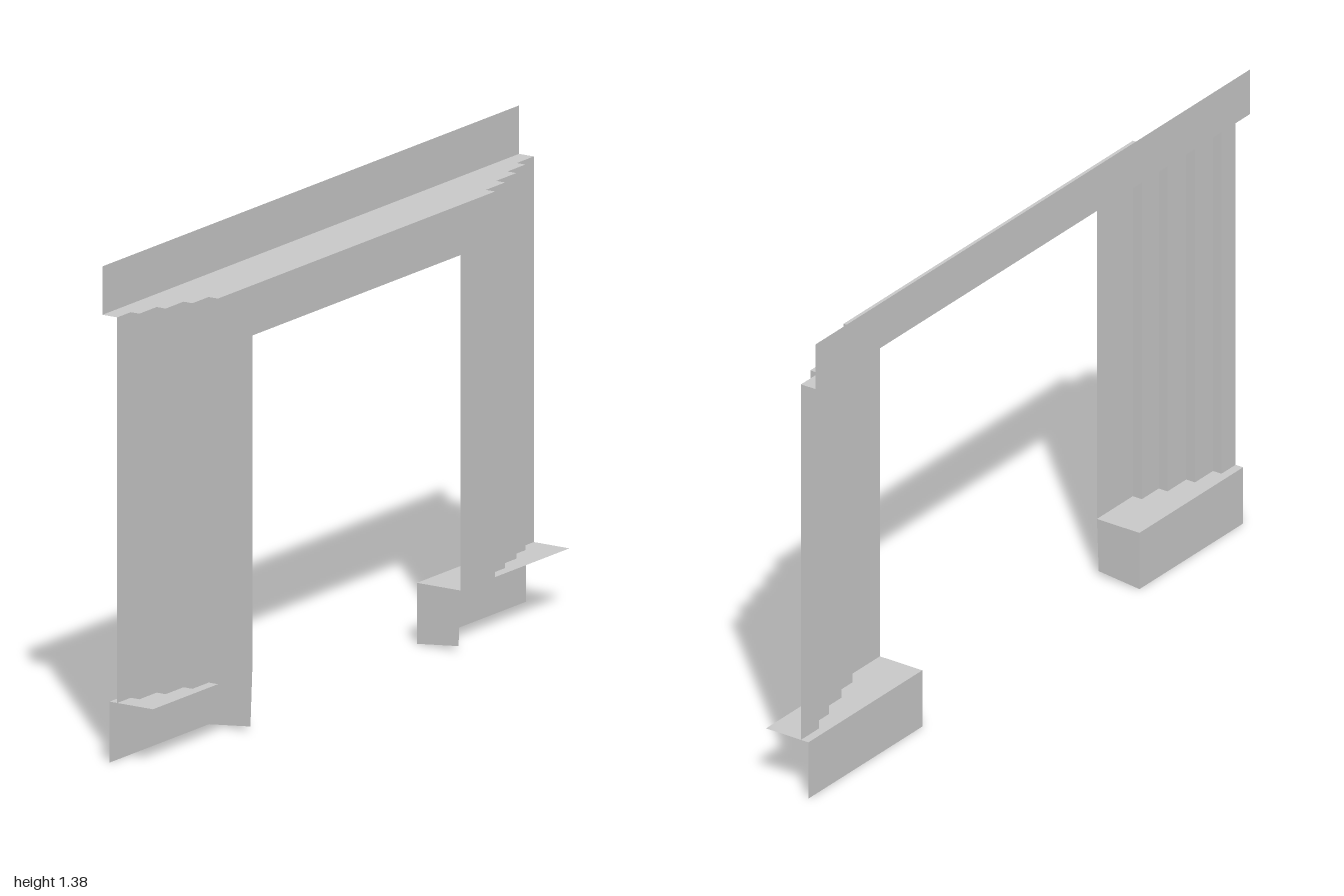
import * as THREE from 'three';

const BASE = 0.17, OPEN_TOP = 1.105, LEDGE = 1.245, TOP = 1.38;
const BACK = -0.083, FACE = 0.081, PLINTH = -0.06;

// Set-backs of the surround: depth of each step, and where each end breaks
const STEP_X = [0.051, 0.022, -0.007, -0.035];
const ENDS = [
  { name: 'front', breaks: [0.688, 0.766, 0.852, 0.935, 1], jamb: 0.523 },
  { name: 'back', breaks: [-0.643, -0.735, -0.832, -0.918, -1], jamb: -0.476 },
];

const material = new THREE.MeshStandardMaterial({
  color: 0xcccccc, flatShading: true, side: THREE.DoubleSide,
});

function sheet(name, geometry) {
  const mesh = new THREE.Mesh(geometry, material);
  mesh.name = name;
  return mesh;
}

// Four-cornered panel, corners counter-clockwise as seen from its front
function panel(name, a, b, c, d) {
  const geometry = new THREE.BufferGeometry().setFromPoints(
    [a, b, c, a, c, d].map((p) => new THREE.Vector3(...p)));
  geometry.computeVertexNormals();
  return sheet(name, geometry);
}

// Flat outline from [x, y] pairs
function flat(points) {
  return new THREE.ShapeGeometry(new THREE.Shape(points.map((p) => new THREE.Vector2(...p))));
}

// Plan of one stepped end as [x, z], from the main face outwards
function stepPlan(breaks) {
  const plan = [[FACE, breaks[0]]];
  STEP_X.forEach((x, i) => plan.push([x, breaks[i]], [x, breaks[i + 1]]));
  return plan;
}

export function createModel() {
  const model = new THREE.Group();
  model.name = 'doorSurround';
  const [front, back] = ENDS;

  // Main face with the doorway cut up from below
  const face = flat([
    [-front.breaks[0], BASE], [-front.jamb, BASE], [-front.jamb, OPEN_TOP],
    [-back.jamb, OPEN_TOP], [-back.jamb, BASE], [-back.breaks[0], BASE],
    [-back.breaks[0], LEDGE], [-front.breaks[0], LEDGE],
  ]).rotateY(Math.PI / 2).translate(FACE, 0, 0);
  model.add(sheet('mainFace', face));

  // Ledge following the stepped plan
  const plan = [
    [BACK, 1], ...stepPlan(front.breaks).reverse(), ...stepPlan(back.breaks), [BACK, -1],
  ];
  const ledge = flat(plan.map(([x, z]) => [x, -z])).rotateX(-Math.PI / 2).translate(0, LEDGE, 0);
  model.add(sheet('ledge', ledge));

  // Upright band behind the ledge
  model.add(panel('topBand', [BACK, LEDGE, 1], [BACK, LEDGE, -1], [BACK, TOP, -1], [BACK, TOP, 1]));

  for (const { name, breaks, jamb } of ENDS) {
    const s = Math.sign(jamb), end = s;

    // Stepped pilaster: alternating returns and faces
    const pilaster = new THREE.Group();
    pilaster.name = name + 'Pilaster';
    const steps = stepPlan(breaks);
    for (let i = 0; i + 1 < steps.length; i++) {
      const [p, q] = s > 0 ? [steps[i + 1], steps[i]] : [steps[i], steps[i + 1]];
      pilaster.add(panel(i % 2 ? 'stepFace' : 'stepReturn',
        [p[0], BASE, p[1]], [q[0], BASE, q[1]], [q[0], LEDGE, q[1]], [p[0], LEDGE, p[1]]));
    }

    // Open plinth: cap, long side and the end beside the doorway
    const plinth = new THREE.Group();
    plinth.name = name + 'Plinth';
    const [z0, z1] = s > 0 ? [end, jamb] : [jamb, end];
    plinth.add(
      panel('plinthCap', [PLINTH, BASE, z0], [FACE, BASE, z0], [FACE, BASE, z1], [PLINTH, BASE, z1]),
      panel('plinthSide', [PLINTH, 0, z0], [PLINTH, 0, z1], [PLINTH, BASE, z1], [PLINTH, BASE, z0]),
      panel('plinthEnd', [PLINTH, 0, jamb], [0.075, 0.014, jamb], [FACE, BASE, jamb], [PLINTH, BASE, jamb]),
    );
    model.add(pilaster, plinth);
  }
  return model;
}
